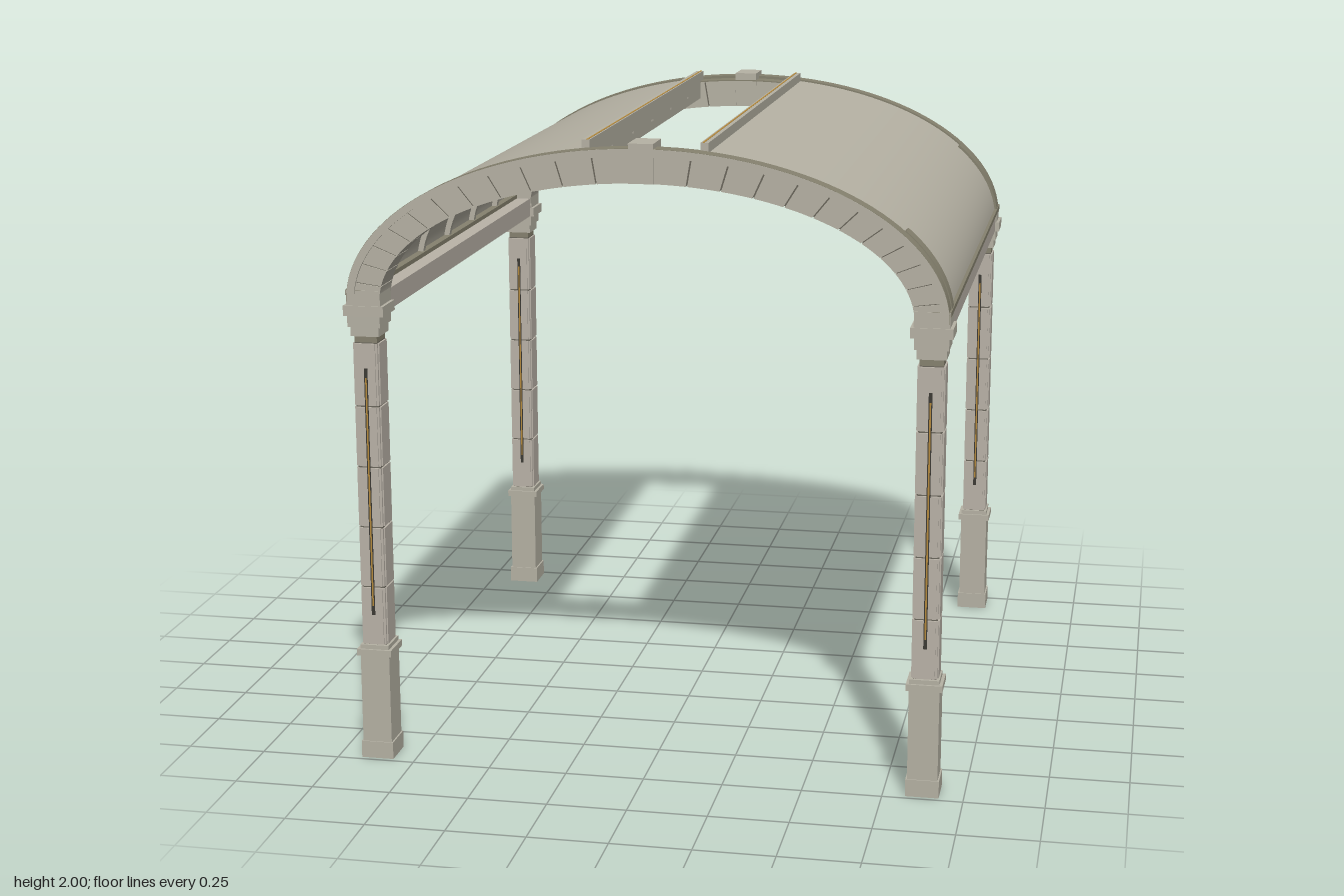
import * as THREE from 'three';
import { toCreasedNormals } from 'three/addons/utils/BufferGeometryUtils.js';

const mat = (name, color) => {
  const m = new THREE.MeshStandardMaterial({ color });
  m.name = name;
  return m;
};

export function createModel() {
  const stone = mat('stone', 0xb6b2a4);
  const paleStone = mat('pale stone', 0xbab3a8);
  const darkStone = mat('dark stone', 0x86826f);
  const joint = mat('joint', 0x6b675c);
  const slot = mat('dark slot', 0x3c3a34);
  const gold = mat('gold strip', 0xb58a3c);

  const model = new THREE.Group();
  model.name = 'archedPavilion';
  const group = (name, parent = model) => {
    const g = new THREE.Group();
    g.name = name;
    parent.add(g);
    return g;
  };
  const add = (parent, name, geo, material) => {
    const m = new THREE.Mesh(geo, material);
    m.name = name;
    parent.add(m);
    return m;
  };
  // Box given by centre x/z, bottom and top y, half widths
  const block = (parent, name, x, z, y0, y1, hx, hz, material) => {
    const m = add(parent, name, new THREE.BoxGeometry(hx * 2, y1 - y0, hz * 2), material);
    m.position.set(x, (y0 + y1) / 2, z);
    return m;
  };

  // Elliptical vault: half width and rise for a given offset, springing at SPRING
  const SPRING = 1.49, A = 0.912, B = 0.482;
  const point = (offset, t) =>
    new THREE.Vector2((A + offset) * Math.cos(t), SPRING + (B + offset) * Math.sin(t));
  const band = (parent, name, outer, inner, t0, t1, z0, z1, steps, material) => {
    const pts = [];
    for (let i = 0; i <= steps; i++) pts.push(point(outer, t0 + (t1 - t0) * i / steps));
    for (let i = steps; i >= 0; i--) pts.push(point(inner, t0 + (t1 - t0) * i / steps));
    const geo = new THREE.ExtrudeGeometry(new THREE.Shape(pts), { depth: z1 - z0, bevelEnabled: false });
    geo.translate(0, 0, z0);
    return add(parent, name, toCreasedNormals(geo, 0.5), material);
  };
  // Angle range for one side of the vault
  const range = (side, t0, t1) => (side > 0 ? [t0, t1] : [Math.PI - t1, Math.PI - t0]);

  // Columns
  const CX = 0.872, CZ = 0.93;
  for (const sx of [1, -1]) for (const sz of [1, -1]) {
    const col = group('column');
    col.position.set(sx * CX, 0, sz * CZ);
    const part = (name, y0, y1, hx, hz, m = stone) => block(col, name, 0, 0, y0, y1, hx, hz, m);
    part('foot', 0, 0.055, 0.052, 0.055);
    part('pedestal', 0.055, 0.345, 0.047, 0.051);
    part('pedestalCap', 0.345, 0.366, 0.056, 0.059);
    part('shaftBase', 0.366, 0.38, 0.046, 0.052);
    part('shaftCore', 0.38, 1.36, 0.036, 0.042, joint);
    // Five drums with raised face panels
    const edges = [0.38, 0.572, 0.768, 0.963, 1.158, 1.36];
    for (let i = 0; i < 5; i++) {
      const y0 = edges[i] + 0.003, y1 = edges[i + 1] - 0.003;
      part('drum', y0, y1, 0.038, 0.046, paleStone);
      part('sidePanel', y0, y1, 0.042, 0.038, paleStone);
      part('frontPanel', y0, y1, 0.031, 0.05, paleStone);
    }
    // Narrow inlaid strips on the front and back faces
    for (const f of [1, -1]) {
      block(col, 'inlay', 0, f * 0.0505, 0.51, 1.25, 0.0025, 0.0012, gold);
      for (const e of [-1, 1])
        block(col, 'inlayBorder', e * 0.004, f * 0.0505, 0.48, 1.28, 0.0015, 0.0012, slot);
      for (const y of [0.48, 1.25])
        block(col, 'inlayEnd', 0, f * 0.0505, y, y + 0.03, 0.0045, 0.0015, slot);
    }
    // Stepped capital
    part('neck', 1.36, 1.382, 0.036, 0.042, darkStone);
    part('capitalLower', 1.38, 1.412, 0.045, 0.05);
    part('capitalMiddle', 1.41, 1.447, 0.052, 0.057);
    part('capitalTop', 1.445, 1.477, 0.064, 0.06);
    part('springer', 1.475, 1.525, 0.054, 0.056);
  }

  // End arches
  for (const sz of [1, -1]) {
    const arch = group('arch');
    const span = (a, b) => (sz > 0 ? [a, b] : [-b, -a]);
    const [z0, z1] = span(0.868, 0.984);
    band(arch, 'mortarCore', -0.004, -0.088, 0, Math.PI, z0 + 0.004, z1 - 0.004, 64, joint);
    const COUNT = 12, END = Math.PI / 2 - 0.04;
    for (const side of [1, -1]) {
      for (let i = 0; i < COUNT; i++) {
        const [t0, t1] = range(side, END * i / COUNT + 0.003, END * (i + 1) / COUNT - 0.003);
        band(arch, 'archStone', 0, -0.092, t0, t1, z0, z1, 4, stone);
      }
      // Raised haunch behind the arch rim
      const [h0, h1] = range(side, 0.05, 0.56);
      band(arch, 'haunch', 0.016, 0, h0, h1, ...span(0.875, 0.935), 16, darkStone);
    }
    band(arch, 'archTop', 0.004, 0, 0, Math.PI, z0, z1, 64, darkStone);
    band(arch, 'archRim', 0.013, 0, 0, Math.PI, ...span(0.93, 0.988), 64, darkStone);
    band(arch, 'rimFace', 0.012, -0.012, 0, Math.PI, ...span(0.98, 0.9895), 64, stone);
    block(arch, 'keystone', 0, sz * 0.93, 1.88, 2, 0.038, 0.06, stone);
  }

  // Roof halves, side beams and ridge beams
  const BAYS = 6, ROWS = 4, HALF = 0.926;
  const RIDGE_T = Math.acos(0.175 / (A + 0.008));
  for (const side of [1, -1]) {
    const roof = group('roofHalf');
    const [t0, t1] = range(side, 0.07, RIDGE_T);
    band(roof, 'roofShell', 0.008, -0.012, t0, t1, -HALF, HALF, 40, stone);
    // Ribs under the roof
    for (let i = 1; i < BAYS; i++) {
      const z = -HALF + 2 * HALF * i / BAYS;
      band(roof, 'crossRib', -0.01, -0.03, t0, t1, z - 0.012, z + 0.012, 32, stone);
    }
    for (let i = 1; i < ROWS; i++) {
      const t = t0 + (t1 - t0) * i / ROWS;
      band(roof, 'longRib', -0.01, -0.026, t - 0.012, t + 0.012, -HALF, HALF, 1, stone);
    }
    block(roof, 'ridgeBeam', side * 0.181, 0, 1.905, 1.999, 0.012, HALF, stone);
    block(roof, 'ridgeInlay', side * 0.177, 0, 1.998, 2, 0.003, HALF, gold);
    block(roof, 'sideBeam', side * CX, 0, 1.446, 1.512, 0.05, 0.985, paleStone);
    block(roof, 'beamLip', side * 0.9, 0, 1.51, 1.526, 0.028, 0.985, darkStone);
  }
  return model;
}
